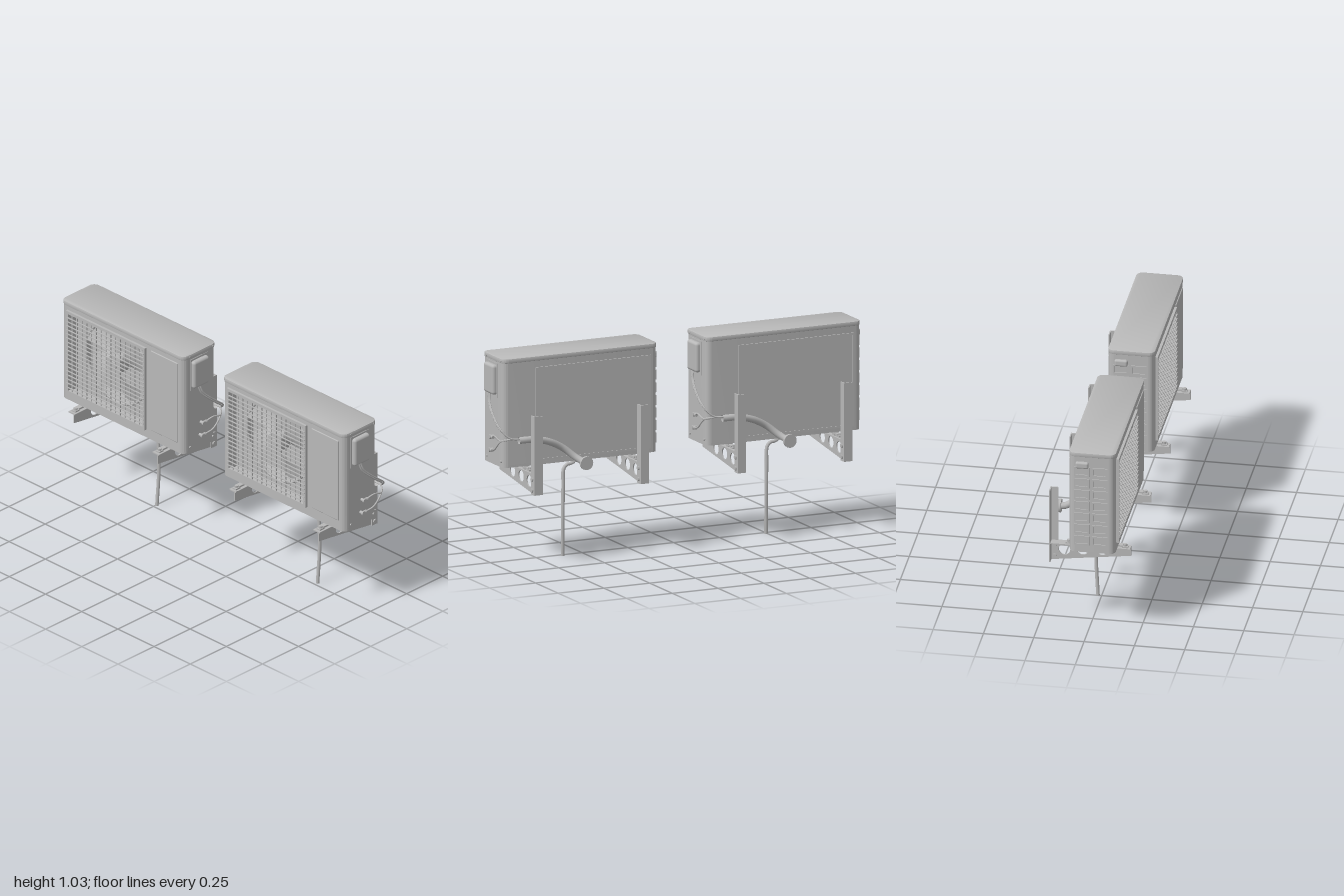
import * as THREE from 'three';
import { toCreasedNormals } from 'three/addons/utils/BufferGeometryUtils.js';
import { RoundedBoxGeometry } from 'three/addons/geometries/RoundedBoxGeometry.js';
import { ParametricGeometry } from 'three/addons/geometries/ParametricGeometry.js';

const grey = new THREE.MeshStandardMaterial({ color: 0xb8b8b8, side: THREE.DoubleSide });
grey.name = 'casing grey';

const XL = -0.985, XR = -0.143, ZF = 0.15, ZB = -0.077, PI = Math.PI;

function add(parent, name, geometry) {
  const mesh = new THREE.Mesh(geometry, grey);
  mesh.name = name;
  parent.add(mesh);
  return mesh;
}

// Box given by its low and high corners
function box(parent, name, x0, x1, y0, y1, z0, z1) {
  const g = new THREE.BoxGeometry(x1 - x0, y1 - y0, z1 - z0);
  g.translate((x0 + x1) / 2, (y0 + y1) / 2, (z0 + z1) / 2);
  return add(parent, name, g);
}

function cylinder(parent, name, r, length, axis, x, y, z, sides = 12) {
  const g = new THREE.CylinderGeometry(r, r, length, sides);
  if (axis === 'x') g.rotateZ(PI / 2);
  if (axis === 'z') g.rotateX(PI / 2);
  g.translate(x, y, z);
  return add(parent, name, g);
}

function tube(parent, name, r, points, sides = 8) {
  const curve = new THREE.CatmullRomCurve3(points.map(p => new THREE.Vector3(...p)), false, 'centripetal');
  return add(parent, name, new THREE.TubeGeometry(curve, 32, r, sides));
}

function rectShape(x0, x1, y0, y1, Type = THREE.Shape) {
  const s = new Type();
  s.moveTo(x0, y0).lineTo(x1, y0).lineTo(x1, y1).lineTo(x0, y1).closePath();
  return s;
}

function extrude(shape, depth) {
  return new THREE.ExtrudeGeometry(shape, { depth, bevelEnabled: false, curveSegments: 16 });
}

// Four rounded corners traced clockwise in plan (shape y is -z)
function corners(shape, r, inset, reverse) {
  const R = r + inset;
  const list = [
    [XL + R, -ZF + R, 1.5 * PI, PI], [XL + R, -ZB - R, PI, PI / 2],
    [XR - R, -ZB - R, PI / 2, 0], [XR - R, -ZF + R, 0, -PI / 2],
  ];
  if (reverse) list.reverse();
  for (const [x, y, a, b] of list) {
    if (reverse) shape.absarc(x, y, r, b, a, false);
    else shape.absarc(x, y, r, a, b, true);
  }
  return shape;
}

function buildCasing(unit) {
  const wall = corners(corners(new THREE.Shape(), 0.03, 0), 0.022, 0.008, true);
  const g = extrude(wall, 0.527);
  g.rotateX(-PI / 2).translate(0, 0.488, 0);
  add(unit, 'casingWall', toCreasedNormals(g, 0.6));
  const lid = new THREE.ExtrudeGeometry(corners(new THREE.Shape(), 0.03, 0),
    { depth: 0.014, bevelThickness: 0.004, bevelSize: 0.003, bevelSegments: 2, curveSegments: 8 });
  lid.rotateX(-PI / 2).translate(0, 1.012, 0);
  add(unit, 'lid', toCreasedNormals(lid, 0.6));
  const floor = extrude(corners(new THREE.Shape(), 0.03, 0), 0.012);
  floor.rotateX(-PI / 2).translate(0, 0.485, 0);
  add(unit, 'floor', floor);

  // Front with the fan opening, and the service panel beside it
  const front = rectShape(XL + 0.03, XR - 0.03, 0.49, 1.015);
  front.holes.push(rectShape(-0.937, -0.404, 0.535, 0.981, THREE.Path));
  add(unit, 'frontPanel', extrude(front, 0.008)).position.z = ZF - 0.008;
  add(unit, 'servicePanel', new RoundedBoxGeometry(0.186, 0.445, 0.01, 2, 0.004)).position.set(-0.273, 0.762, ZF);

  // Rear coil panel with its rim
  box(unit, 'rearPanel', -0.94, -0.32, 0.51, 0.97, ZB - 0.003, ZB);
  const rim = rectShape(-0.945, -0.315, 0.505, 0.975);
  rim.holes.push(rectShape(-0.935, -0.325, 0.515, 0.965, THREE.Path));
  add(unit, 'rearRim', extrude(rim, 0.006)).position.z = ZB - 0.006;

  // Side intake cells and hand grip
  for (let row = 0; row < 7; row++) for (let col = 0; col < 2; col++) {
    const z = -0.052 + col * 0.09, y = 0.525 + row * 0.063;
    const cell = rectShape(z, z + 0.076, y, y + 0.05);
    cell.holes.push(rectShape(z + 0.008, z + 0.068, y + 0.008, y + 0.042, THREE.Path));
    const c = extrude(cell, 0.005);
    c.rotateY(-PI / 2).translate(XL, 0, 0);
    add(unit, 'intakeCell', c);
  }
  add(unit, 'handGrip', new RoundedBoxGeometry(0.03, 0.035, 0.065, 3, 0.01)).position.set(XL, 0.965, -0.012);
  for (const z of [0.105, -0.052]) for (const y of [0.513, 1.018])
    cylinder(unit, 'screw', 0.006, 0.008, 'x', XR + 0.002, y, z, 8);
}

function buildFan(unit) {
  const cx = -0.66, cy = 0.772;
  const mouth = rectShape(-0.95, -0.39, 0.52, 0.99);
  mouth.holes.push(new THREE.Path().absarc(cx, cy, 0.214, 0, 2 * PI, true));
  add(unit, 'fanBaffle', extrude(mouth, 0.006)).position.z = 0.08;
  add(unit, 'fanRing', new THREE.TorusGeometry(0.214, 0.007, 8, 48)).position.set(cx, cy, 0.09);
  box(unit, 'coil', -0.95, -0.39, 0.52, 0.99, -0.04, -0.03);
  cylinder(unit, 'fanHub', 0.05, 0.06, 'z', cx, cy, 0.085, 24);
  cylinder(unit, 'fanCap', 0.022, 0.012, 'z', cx, cy, 0.119, 16);
  // Swept, pitched blades
  for (let i = 0; i < 4; i++) {
    const blade = new ParametricGeometry((u, v, p) => {
      const r = 0.04 + 0.162 * u;
      const a = 0.45 * u + (v - 0.5) * (0.55 + 0.55 * Math.sin(u * 2.3));
      p.set(r * Math.cos(a), r * Math.sin(a), (v - 0.5) * 0.05);
    }, 10, 8);
    const m = add(unit, 'fanBlade', blade);
    m.position.set(cx, cy, 0.085);
    m.rotation.z = 0.25 + i * PI / 2;
  }

  // Grille of crossed bars in a frame
  const frame = rectShape(-0.943, -0.398, 0.529, 0.987);
  frame.holes.push(rectShape(-0.928, -0.413, 0.544, 0.972, THREE.Path));
  add(unit, 'grilleFrame', extrude(frame, 0.016)).position.z = ZF - 0.003;
  for (let i = 1; i < 19; i++) {
    const y = 0.54 + i * 0.0229;
    box(unit, 'grilleBar', -0.938, -0.403, y - 0.002, y + 0.002, 0.161, 0.167);
  }
  for (let i = 1; i < 16; i++) {
    const x = -0.935 + i * 0.0331;
    box(unit, 'grilleUpright', x - 0.0018, x + 0.0018, 0.535, 0.981, 0.156, 0.161);
  }
}

// Wall bracket: upright, perforated arm and foot rail; x is its right edge
function buildBracket(unit, x) {
  const b = new THREE.Group();
  b.name = 'wallBracket';
  b.position.x = x;
  unit.add(b);
  box(b, 'uprightBack', -0.045, 0, 0.36, 0.755, -0.195, -0.189);
  box(b, 'uprightSide', -0.006, 0, 0.36, 0.755, -0.195, -0.155);
  const arm = new THREE.Shape();
  arm.moveTo(0.207, 0.463).lineTo(0.207, 0.413).lineTo(-0.19, 0.36).lineTo(-0.19, 0.463).closePath();
  for (const [z, y] of [[0.061, 0.433], [-0.034, 0.427], [-0.124, 0.42]])
    arm.holes.push(new THREE.Path().absarc(z, y, 0.029, 0, 2 * PI, true));
  const g = extrude(arm, 0.006);
  g.rotateY(-PI / 2).translate(-0.006, 0, 0);
  add(b, 'arm', g);
  box(b, 'armFlange', -0.045, 0, 0.459, 0.465, -0.19, 0.207);
  for (const y of [0.437, 0.382]) cylinder(b, 'bracketBolt', 0.011, 0.026, 'x', -0.006, y, -0.172, 6);
  box(b, 'footRail', -0.036, -0.01, 0.471, 0.479, -0.1, 0.17);
  for (const z of [0.18, -0.1]) {
    box(b, 'footEnd', -0.036, -0.01, 0.465, 0.472, z - 0.015, z + 0.015);
    cylinder(b, 'footBolt', 0.01, 0.014, 'y', -0.023, 0.476, z, 6);
  }
  for (const z of [0.097, -0.052]) box(b, 'foot', -0.036, -0.01, 0.465, 0.488, z - 0.012, z + 0.012);
}

function buildPiping(unit) {
  // Terminal cover on its backing plate
  box(unit, 'coverPlate', XR - 0.002, XR + 0.003, 0.828, 1.0, -0.02, 0.105);
  add(unit, 'terminalCover', new RoundedBoxGeometry(0.034, 0.15, 0.108, 4, 0.014)).position.set(-0.135, 0.915, 0.045);

  // Valves with pipes, and cables from the cover
  for (const [y, z] of [[0.625, 0.03], [0.558, 0.038]]) {
    cylinder(unit, 'valveStem', 0.008, 0.03, 'x', -0.132, y, z);
    cylinder(unit, 'valveNut', 0.012, 0.01, 'x', -0.122, y, z, 6);
    cylinder(unit, 'valveOutlet', 0.009, 0.026, 'z', -0.128, y, z - 0.012, 6);
    tube(unit, 'copperPipe', 0.004, [[-0.128, y, z - 0.015], [-0.118, y + 0.015, -0.03],
      [-0.125, 0.625, -0.09], [-0.16, 0.637, -0.122], [-0.25, 0.635, -0.138]]);
  }
  for (const d of [0, 0.012]) {
    tube(unit, 'cable', 0.004, [[-0.13, 0.845, 0.062 - d], [-0.124, 0.8, 0.045 - d], [-0.115, 0.745, -0.01 - d],
      [-0.122, 0.68, -0.09 - d], [-0.16, 0.642, -0.125], [-0.25, 0.637, -0.138 + d]]);
  }

  // Insulated pipe running to the wall flange
  tube(unit, 'insulatedPipe', 0.017, [[-0.2, 0.63, -0.134], [-0.264, 0.63, -0.137], [-0.36, 0.61, -0.125],
    [-0.45, 0.565, -0.114], [-0.505, 0.52, -0.135], [-0.533, 0.499, -0.17], [-0.536, 0.497, -0.2]], 12);
  cylinder(unit, 'wallFlange', 0.034, 0.014, 'z', -0.536, 0.497, -0.2, 16);

  // Drain elbow and hose
  cylinder(unit, 'drainSpigot', 0.017, 0.02, 'y', -0.555, 0.478, -0.025, 16);
  tube(unit, 'drainHose', 0.009, [[-0.555, 0.48, -0.025], [-0.548, 0.463, -0.025], [-0.515, 0.457, -0.024],
    [-0.498, 0.435, -0.023], [-0.494, 0.36, -0.027], [-0.491, 0.2, -0.029], [-0.495, 0, -0.019]], 12);
}

function createUnit() {
  const unit = new THREE.Group();
  unit.name = 'outdoorUnit';
  buildCasing(unit);
  buildFan(unit);
  for (const x of [-0.255, -0.835]) buildBracket(unit, x);
  buildPiping(unit);
  return unit;
}

export function createModel() {
  const model = new THREE.Group();
  model.name = 'airConditionerPair';
  for (const x of [0, 1.11]) {
    const unit = createUnit();
    unit.position.x = x;
    model.add(unit);
  }
  return model;
}
